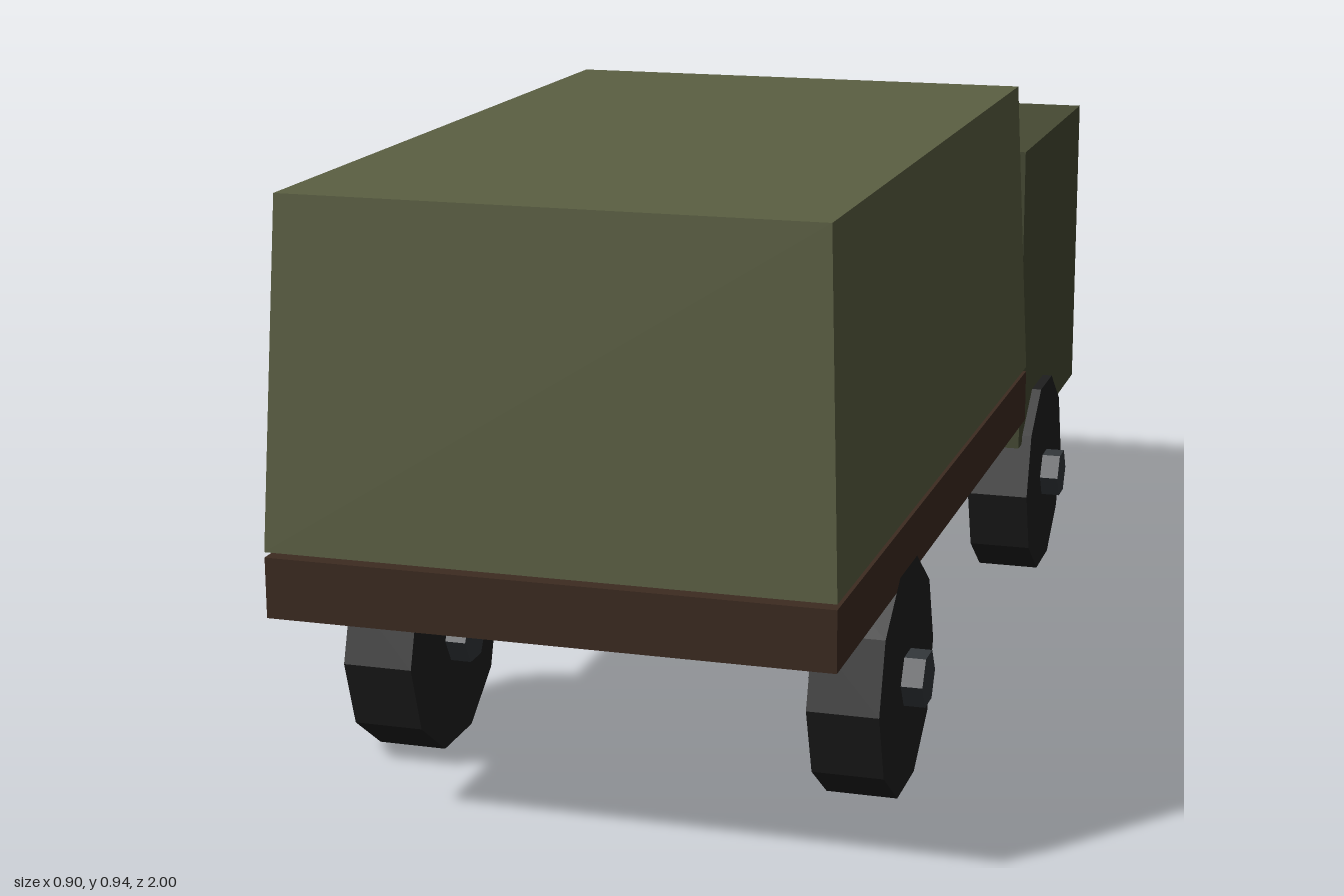
import * as THREE from 'three';

const material = (color) => {
  const m = new THREE.MeshStandardMaterial({ color });
  m.flatShading = true;
  return m;
};

export function createModel() {
  const truck = new THREE.Group();
  truck.name = 'truck';
  const canvas = material(0x5b5f42);
  const paint = material(0x464a33);
  const wood = material(0x3d2b21);
  const rubber = material(0x1e1e1e);
  const steel = material(0x33373b);

  const add = (parent, name, geometry, mat, x, y, z) => {
    const mesh = new THREE.Mesh(geometry, mat);
    mesh.name = name;
    mesh.position.set(x, y, z);
    parent.add(mesh);
    return mesh;
  };

  // Cab and flat cargo bed
  add(truck, 'cab', new THREE.BoxGeometry(0.8, 0.545, 0.583), paint, 0, 0.5375, -0.7085);
  add(truck, 'cargoBed', new THREE.BoxGeometry(0.834, 0.09, 1.38), wood, 0, 0.375, 0.31);

  // Canvas cover, a box drawn in towards the roof
  const cover = new THREE.BoxGeometry(0.834, 0.509, 1.38);
  const p = cover.attributes.position;
  for (let i = 0; i < p.count; i++) {
    if (p.getY(i) > 0) {
      p.setX(i, Math.sign(p.getX(i)) * 0.397);
      p.setZ(i, Math.sign(p.getZ(i)) * 0.655);
    }
  }
  cover.computeVertexNormals();
  add(truck, 'canvasCover', cover, canvas, 0, 0.6825, 0.31);

  // Four wheels: ten-sided tyres with six-sided hubs
  const tyre = new THREE.CylinderGeometry(0.182, 0.182, 0.109, 10).rotateZ(Math.PI / 2);
  const hub = new THREE.CylinderGeometry(0.044, 0.044, 0.175, 6).rotateZ(Math.PI / 2);
  for (const [end, z] of [['rear', -0.6], ['front', 0.565]]) {
    for (const [side, x] of [['Left', 0.3625], ['Right', -0.3625]]) {
      const wheel = new THREE.Group();
      wheel.name = `${end}${side}Wheel`;
      wheel.position.set(x, 0.173, z);
      add(wheel, 'tyre', tyre, rubber, 0, 0, 0);
      add(wheel, 'hub', hub, steel, 0, 0, 0);
      truck.add(wheel);
    }
  }
  return truck;
}
